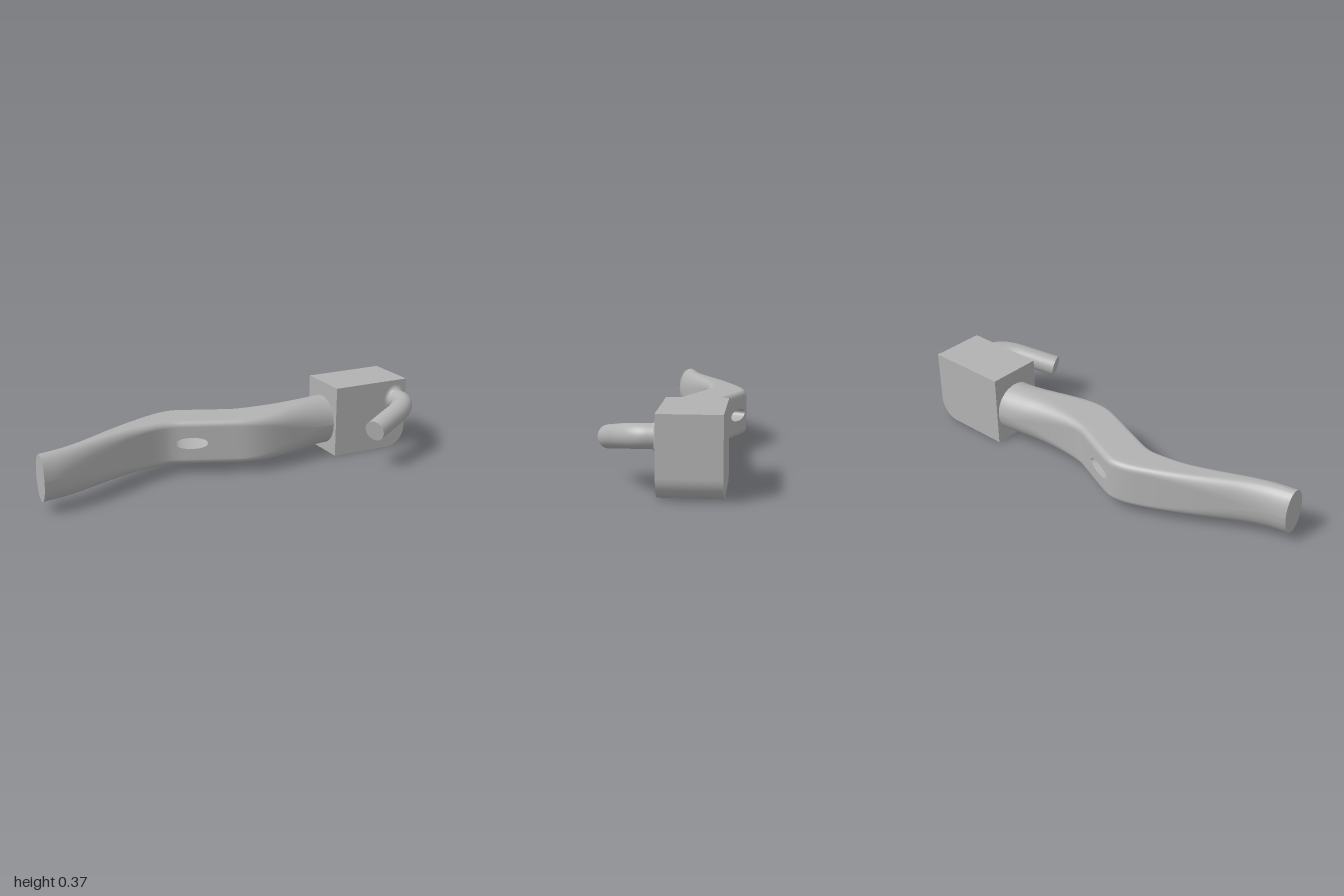
import * as THREE from 'three';
import { mergeVertices } from 'three/addons/utils/BufferGeometryUtils.js';

const V = (x, y, z) => new THREE.Vector3(x, y, z);
const MID_Y = 0.164;

// Smooth interpolation through [x, value] rows
function smooth(rows, col, x) {
  const n = rows.length;
  let i = 0;
  while (i < n - 2 && x > rows[i + 1][0]) i++;
  const slope = (k) => {
    const a = rows[Math.max(k - 1, 0)], b = rows[Math.min(k + 1, n - 1)];
    return (b[col] - a[col]) / (b[0] - a[0]);
  };
  const h = rows[i + 1][0] - rows[i][0];
  const t = THREE.MathUtils.clamp((x - rows[i][0]) / h, 0, 1);
  const t2 = t * t, t3 = t2 * t;
  return (2 * t3 - 3 * t2 + 1) * rows[i][col] + (t3 - 2 * t2 + t) * h * slope(i)
    + (3 * t2 - 2 * t3) * rows[i + 1][col] + (t3 - t2) * h * slope(i + 1);
}

// Bar outline from above: x, back z, front z
const OUTLINE = [
  [-1, -0.027, 0.105], [-0.9, -0.05, 0.087], [-0.8, -0.085, 0.05], [-0.7, -0.132, 0.002],
  [-0.6, -0.18, -0.045], [-0.5, -0.225, -0.085], [-0.4, -0.267, -0.107], [-0.32, -0.298, -0.114],
  [-0.27, -0.31, -0.105], [-0.22, -0.313, -0.086], [-0.17, -0.298, -0.066], [0, -0.227, 0.003],
  [0.07, -0.2, 0.028], [0.15, -0.192, 0.04], [0.25, -0.197, 0.035], [0.35, -0.212, 0.02],
  [0.45, -0.236, 0.004], [0.55, -0.254, -0.009], [0.6, -0.257, -0.011],
];
const HEIGHT = [[-1, 0.114], [-0.4, 0.113], [0, 0.113], [0.1, 0.114], [0.35, 0.121], [0.6, 0.126]];

const SIDE = 8, CORNER = 8, TOP = 4;
const STEPS = 80, STEP = 0.02;

// Cross-section: oval at both ends, rounded rectangle in the middle
function section(x) {
  const zb = smooth(OUTLINE, 1, x), zf = smooth(OUTLINE, 2, x);
  const hz = (zf - zb) / 2, cz = (zf + zb) / 2, hy = smooth(HEIGHT, 1, x);
  const q = 0.97 * (1 - THREE.MathUtils.smoothstep(x, -1, -0.36) + THREE.MathUtils.smoothstep(x, 0.02, 0.56));
  const ry = THREE.MathUtils.lerp(0.03, hy, q), rz = THREE.MathUtils.lerp(0.03, hz, q);
  const fy = hy - ry, fz = hz - rz, half = [];
  for (let j = 0; j < SIDE; j++) half.push([hz, fy * (2 * j / SIDE - 1)]);
  for (let j = 0; j < CORNER; j++) {
    const a = j / CORNER * Math.PI / 2;
    half.push([fz + rz * Math.cos(a), fy + ry * Math.sin(a)]);
  }
  for (let j = 0; j < TOP; j++) half.push([fz * (1 - 2 * j / TOP), hy]);
  for (let j = 0; j < CORNER; j++) {
    const a = (1 + j / CORNER) * Math.PI / 2;
    half.push([-fz + rz * Math.cos(a), fy + ry * Math.sin(a)]);
  }
  // The second half is the first turned by 180 degrees
  return [...half, ...half.map(([z, y]) => [-z, -y])].map(([z, y]) => V(x, MID_Y + y, cz + z));
}

function geometryFrom(tris) {
  const g = new THREE.BufferGeometry().setFromPoints(tris);
  const merged = mergeVertices(g, 1e-5);
  merged.computeVertexNormals();
  return merged;
}

const quad = (out, a, b, c, d) => out.push(a, b, c, a, c, d);

// Bar skin, end cap and the lining of the slanted through hole
function barGeometries() {
  const rings = [];
  for (let i = 0; i <= STEPS; i++) rings.push(section(-1 + i * STEP));
  const n = rings[0].length;
  const holes = [
    { i0: 34, j0: 1, sign: 1, col: 2 },
    { i0: 38, j0: n / 2 + 1, sign: -1, col: 1 },
  ];
  const W = 12, H = SIDE - 2;
  const skin = [];
  for (let i = 0; i < STEPS; i++) {
    for (let j = 0; j < n; j++) {
      if (holes.some((h) => i >= h.i0 && i < h.i0 + W && j >= h.j0 && j < h.j0 + H)) continue;
      const k = (j + 1) % n;
      quad(skin, rings[i][j], rings[i + 1][j], rings[i + 1][k], rings[i][k]);
    }
  }
  // Surface between each rectangular gap and its oval opening
  const rims = holes.map(({ i0, j0, sign, col }) => {
    const edge = [];
    for (let i = 0; i <= W; i++) {
      for (let j = 0; j <= H; j++) {
        if (i > 0 && i < W && j > 0 && j < H) continue;
        const a = Math.atan2(j / H - 0.5, i / W - 0.5);
        edge.push({ a: a < -1e-9 ? a + 2 * Math.PI : a, p: rings[i0 + i][j0 + j] });
      }
    }
    edge.sort((e, f) => e.a - f.a);
    const cx = -1 + (i0 + W / 2) * STEP;
    const loops = [0, 0.25, 0.5, 0.75, 1].map((t) => edge.map(({ a, p }) => {
      if (t === 0) return p;
      const x = THREE.MathUtils.lerp(p.x, cx + 0.076 * Math.cos(a), t);
      const y = THREE.MathUtils.lerp(p.y, MID_Y + sign * 0.029 * Math.sin(a), t);
      return V(x, y, smooth(OUTLINE, col, x));
    }));
    for (let r = 0; r < 4; r++) {
      for (let k = 0; k < edge.length; k++) {
        const m = (k + 1) % edge.length;
        quad(skin, loops[r][k], loops[r][m], loops[r + 1][m], loops[r + 1][k]);
      }
    }
    return loops[4];
  });
  const lining = [], N = rims[0].length;
  for (let k = 0; k < N; k++) {
    const m = (k + 1) % N;
    quad(lining, rims[0][k], rims[0][m], rims[1][(N - m) % N], rims[1][(N - k) % N]);
  }
  const cap = [], centre = V(-1, MID_Y, 0.039);
  for (let j = 0; j < n; j++) cap.push(centre, rings[0][j], rings[0][(j + 1) % n]);
  return { skin: geometryFrom(skin), lining: geometryFrom(lining), cap: geometryFrom(cap) };
}

export function createModel() {
  const model = new THREE.Group();
  const grey = new THREE.MeshStandardMaterial({ color: 0xb2b2b2 });
  grey.name = 'grey';
  const add = (name, geometry, parent = model) => {
    const mesh = new THREE.Mesh(geometry, grey);
    mesh.name = name;
    parent.add(mesh);
    return mesh;
  };

  // Wavy bar
  const bar = new THREE.Group();
  bar.name = 'bar';
  model.add(bar);
  const { skin, lining, cap } = barGeometries();
  add('barSkin', skin, bar);
  add('holeLining', lining, bar);
  add('barEnd', cap, bar);

  // Block with one rounded lower edge
  const outline = new THREE.Shape();
  outline.moveTo(0.575, 0);
  outline.lineTo(0.9, 0);
  outline.absarc(0.9, 0.1, 0.1, -Math.PI / 2, 0, false);
  outline.lineTo(1, 0.365);
  outline.lineTo(0.575, 0.365);
  outline.closePath();
  const block = new THREE.ExtrudeGeometry(outline, { depth: 0.276, bevelEnabled: false, curveSegments: 16 });
  // Round normals on the curved edge only
  const pos = block.attributes.position, nor = block.attributes.normal;
  for (let i = 0; i < pos.count; i++) {
    const x = pos.getX(i) - 0.9, y = pos.getY(i) - 0.1;
    if (Math.abs(nor.getZ(i)) < 0.5 && x > -1e-4 && y < 1e-4 && nor.getX(i) > -0.5) {
      nor.setXYZ(i, x / 0.1, y / 0.1, 0);
    }
  }
  block.translate(0, 0, -0.266);
  add('block', block);

  // Bent handle with a flared root and a flat end
  const handle = new THREE.Group();
  handle.name = 'handle';
  model.add(handle);
  const root = V(0.935, 0.262, 0), bendStart = V(0.935, 0.262, 0.045);
  const bendEnd = V(0.82, 0.237, 0.173), end = V(0.652, 0.2, 0.25);
  const path = new THREE.CurvePath();
  path.add(new THREE.LineCurve3(root, bendStart));
  path.add(new THREE.CubicBezierCurve3(bendStart, V(0.935, 0.262, 0.095), V(0.895, 0.254, 0.139), bendEnd));
  path.add(new THREE.LineCurve3(bendEnd, end));
  add('handleTube', new THREE.TubeGeometry(path, 64, 0.053, 32, false), handle);

  const endCap = add('handleEnd', new THREE.CircleGeometry(0.053, 32), handle);
  endCap.position.copy(end);
  endCap.quaternion.setFromUnitVectors(V(0, 0, 1), end.clone().sub(bendEnd).normalize());

  const flare = [];
  for (let i = 0; i <= 8; i++) {
    const a = i / 8 * Math.PI / 2;
    flare.push(new THREE.Vector2(0.078 - 0.026 * Math.sin(a), 0.036 - 0.026 * Math.cos(a)));
  }
  const flareMesh = add('handleRoot', new THREE.LatheGeometry(flare, 32), handle);
  flareMesh.rotation.x = Math.PI / 2;
  flareMesh.scale.x = 0.84;
  flareMesh.position.set(0.935, 0.262, 0);

  return model;
}
